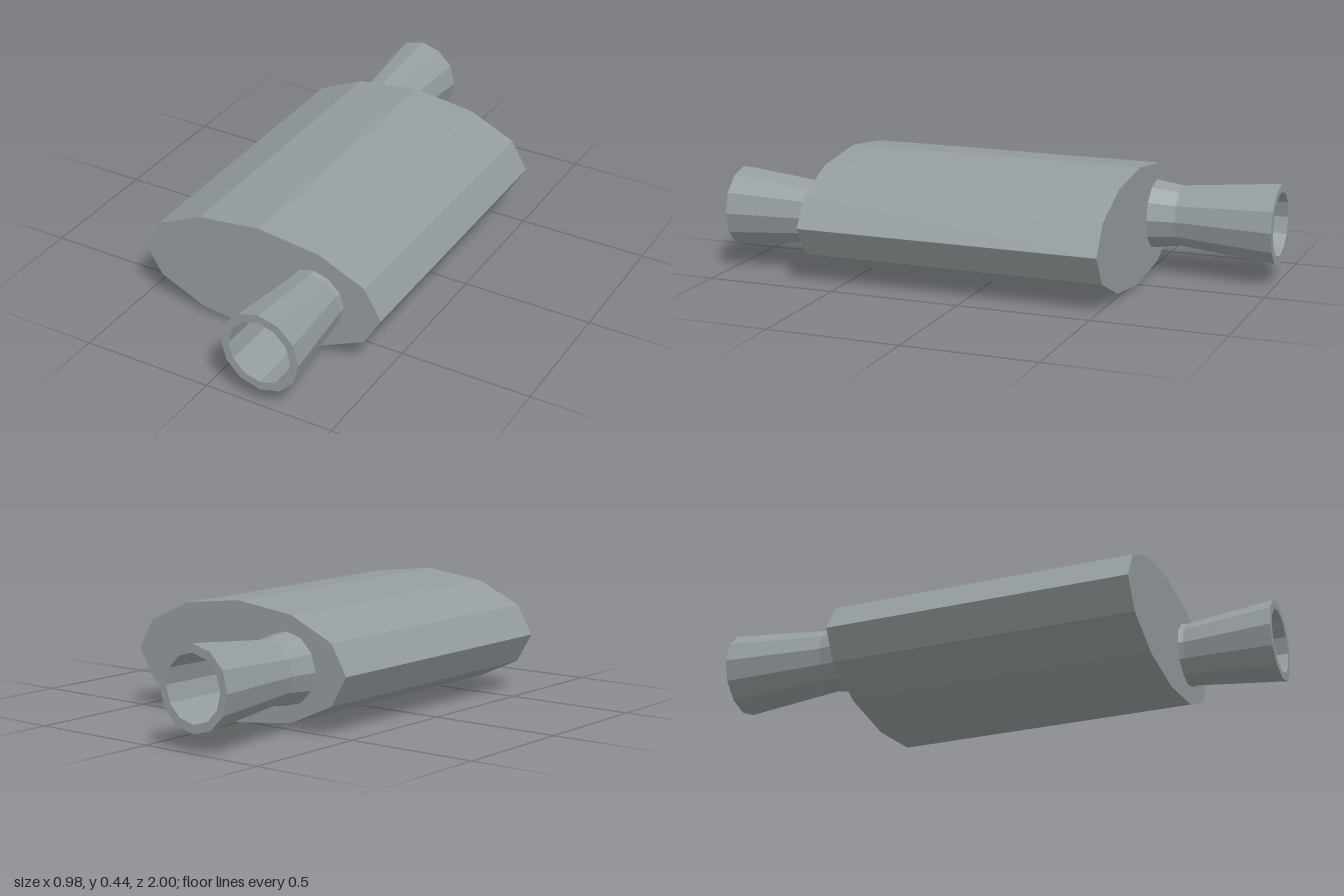
import * as THREE from 'three';

const SIDES = 12;
const CENTRE_Y = 0.222;

export function createModel() {
  const model = new THREE.Group();
  model.name = 'muffler';
  const steel = new THREE.MeshStandardMaterial({ color: 0x949c9e, flatShading: true });
  steel.name = 'grey steel';

  const add = (name, geometry, x, z) => {
    const mesh = new THREE.Mesh(geometry, steel);
    mesh.name = name;
    mesh.position.set(x, CENTRE_Y, z);
    model.add(mesh);
  };

  // Flattened twelve-sided canister lying along z
  const canister = new THREE.CylinderGeometry(1, 1, 1.16, SIDES);
  canister.rotateX(Math.PI / 2);
  canister.scale(0.49, 0.222, 1);
  add('canister', canister, 0, 0.06);

  // Flared open pipe: outer wall, flat rim, then the bore.
  // Each profile point is [radius, distance from the model centre].
  const pipe = (name, x, direction, profile) => {
    const points = profile.map(([r, d]) => new THREE.Vector2(r, d));
    const geometry = new THREE.LatheGeometry(points, SIDES);
    geometry.rotateX(direction * Math.PI / 2);
    add(name, geometry, x, 0);
  };
  pipe('frontPipe', 0.222, 1,
    [[0.122, 0.63], [0.118, 0.66], [0.154, 1], [0.122, 1], [0.115, 0.66], [0.115, 0.63]]);
  pipe('rearPipe', -0.222, -1,
    [[0.134, 0.51], [0.117, 0.625], [0.154, 1], [0.122, 1], [0.114, 0.625], [0.114, 0.51]]);

  return model;
}
